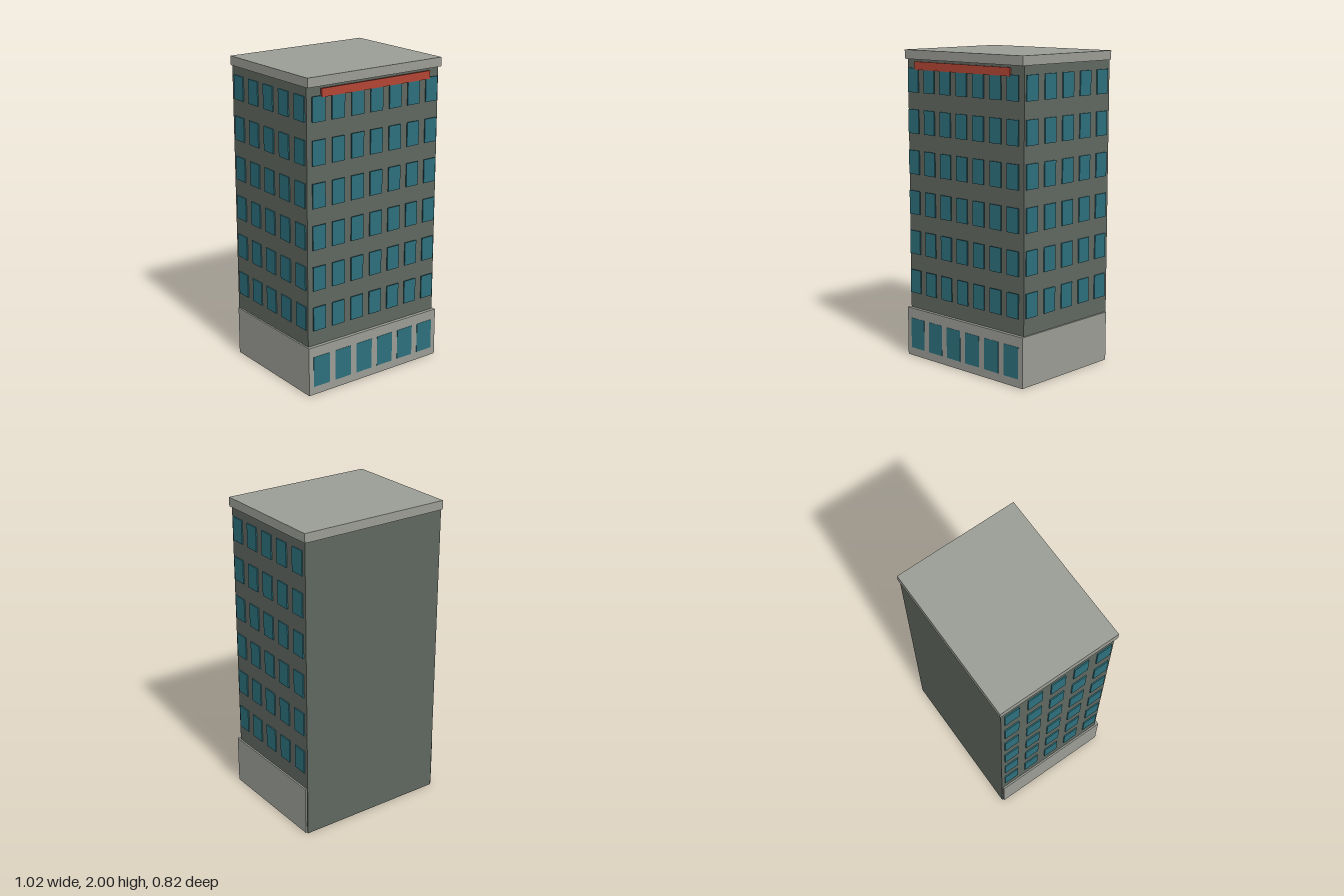
import * as THREE from 'three';

function material(name, color) {
  const m = new THREE.MeshStandardMaterial({ color });
  m.name = name;
  return m;
}

export function createModel() {
  const building = new THREE.Group();
  building.name = 'officeBuilding';

  const wall = material('darkGreyWall', 0x5f665f);
  const stone = material('paleStone', 0x9a9c95);
  const glass = material('tealGlass', 0x2c6f7b);
  const red = material('redSign', 0xb24434);

  // Box given by its lower and upper limits on each axis
  function block(name, mat, [x0, x1], [y0, y1], [z0, z1], parent = building) {
    const mesh = new THREE.Mesh(new THREE.BoxGeometry(x1 - x0, y1 - y0, z1 - z0), mat);
    mesh.position.set((x0 + x1) / 2, (y0 + y1) / 2, (z0 + z1) / 2);
    mesh.name = name;
    parent.add(mesh);
  }
  const around = (c, size) => [c - size / 2, c + size / 2];
  function group(name) {
    const g = new THREE.Group();
    g.name = name;
    building.add(g);
    return g;
  }

  // Main masses: tower, ground floor and roof cornice
  block('tower', wall, [-0.5, 0.5], [0, 1.995], [-0.402, 0.381]);
  block('groundFloor', stone, [-0.511, 0.511], [0.002, 0.322], [-0.392, 0.404]);
  block('roofCornice', stone, [-0.506, 0.506], [1.942, 2], [-0.41, 0.402]);

  // Sign band under the cornice
  block('signBand', red, [-0.41, 0.41], [1.878, 1.929], [0.398, 0.41]);

  // Upper windows: six floors, seven across the front, five on each side
  const frontWindows = group('frontWindows');
  const sideWindows = { 1: group('leftWindows'), '-1': group('rightWindows') };
  for (let floor = 0; floor < 6; floor++) {
    const y = around(0.507 + floor * 0.2608, 0.153);
    for (let i = -3; i <= 3; i++) {
      block('frontWindow', glass, around(i * 0.143, 0.093), y, [0.399, 0.406], frontWindows);
    }
    for (const side of [-1, 1]) {
      for (let i = -2; i <= 2; i++) {
        block('sideWindow', glass, around(side * 0.503, 0.009), y, around(i * 0.1605 - 0.006, 0.1), sideWindows[side]);
      }
    }
  }

  // Shop windows along the ground floor
  const shopWindows = group('shopWindows');
  for (let i = 0; i < 6; i++) {
    block('shopWindow', glass, around((i - 2.5) * 0.1663, 0.122), [0.055, 0.256], [0.4, 0.406], shopWindows);
  }

  return building;
}
